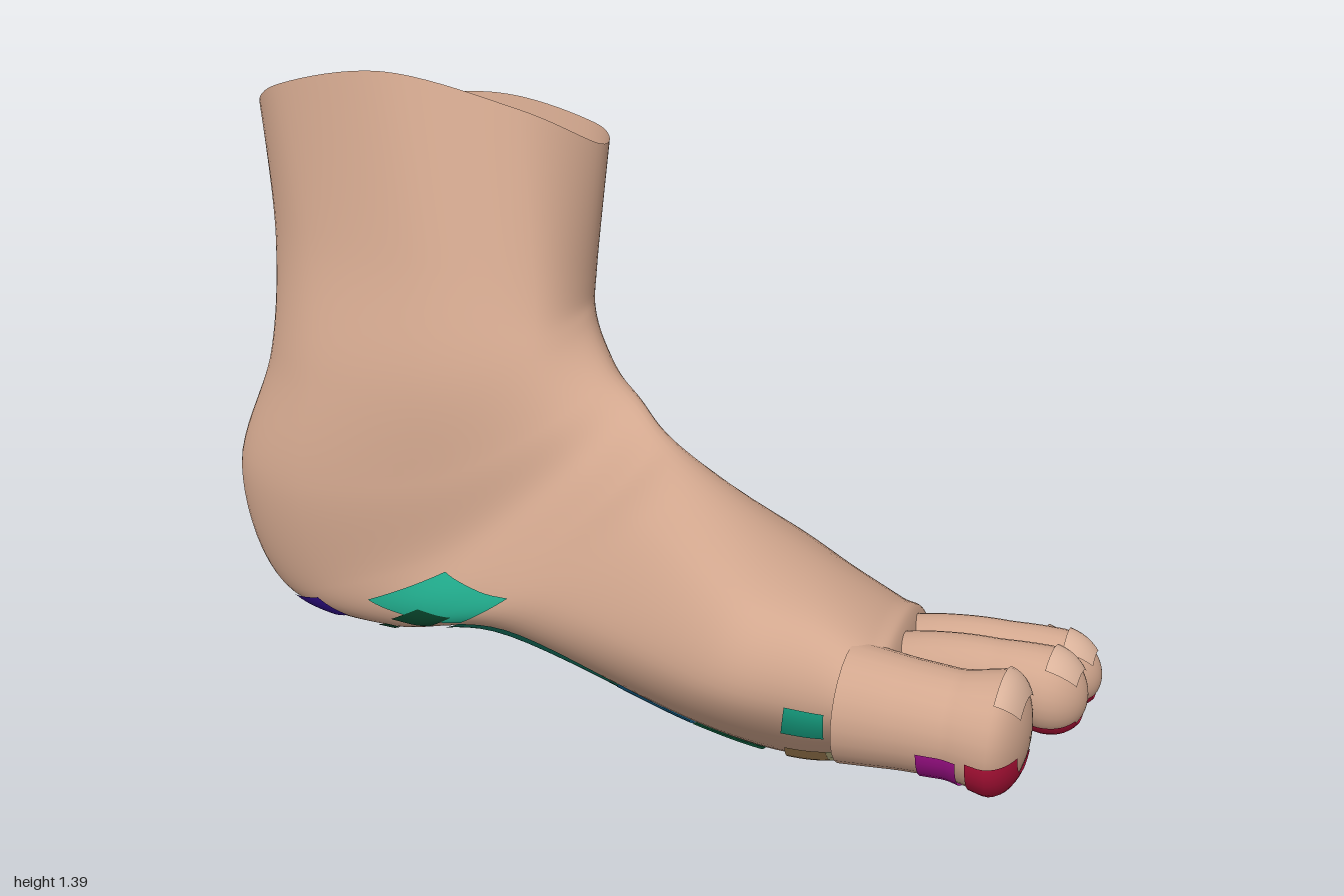
import * as THREE from 'three';

const SKIN = 0xd2a78e;
const V = (a) => new THREE.Vector3(...a);

// Cross-sections fanning from the ankle opening round the heel to the toe roots.
// Each one: top/front, inner side, sole/back, outer side.
const SECTIONS = [
  [[-.13, 1.21, -.41], [-.6, 1.38, -.32], [-.98, 1.18, -.69], [-.43, 1.24, -.7]],
  [[-.14, .93, -.32], [-.5, 1, -.17], [-.93, .92, -.55], [-.42, .95, -.62]],
  [[-.13, .85, -.26], [-.48, .75, -.08], [-.92, .68, -.42], [-.42, .7, -.56]],
  [[-.07, .77, -.18], [-.46, .52, -.05], [-.995, .4, -.35], [-.42, .45, -.51]],
  [[0, .72, -.12], [-.42, .36, -.03], [-.91, .11, -.33], [-.43, .28, -.46]],
  [[.06, .68, -.05], [-.31, .34, .07], [-.66, .05, -.3], [-.36, .25, -.44]],
  [[.14, .65, .03], [-.13, .38, .22], [-.33, .13, -.2], [-.13, .22, -.42]],
  [[.33, .58, .18], [.2, .38, .51], [.2, .07, .01], [.32, .2, -.25]],
  [[.46, .53, .24], [.4, .37, .57], [.42, .025, .08], [.51, .14, -.17]],
  [[.57, .48, .28], [.52, .39, .61], [.59, .1, .18], [.62, .18, -.06]],
];

const centre = (points) => points.reduce((a, b) => a.add(b), V([0, 0, 0])).divideScalar(points.length);

// Eight control points per section: the four given and rounded corners between
const RINGS = SECTIONS.map((section) => {
  const p = section.map(V);
  const c = centre(p);
  return p.flatMap((a, i) => {
    const b = p[(i + 1) % 4];
    const corner = a.clone().add(b).addScaledVector(c, -2).multiplyScalar(.72).add(c);
    return [a, corner];
  });
});

// Close the front between the toes: shrink the last section forwards to a point
const lastRing = RINGS[RINGS.length - 1];
const lastCentre = centre(lastRing);
for (const [scale, shift] of [[.82, .05], [0, .08]]) {
  RINGS.push(lastRing.map((p) => lastCentre.clone().lerp(p, scale).add(V([shift, 0, 0]))));
}

// Weights of a uniform spline for the four neighbours of a point
const weights = (t) => [
  (-t + 2 * t * t - t ** 3) / 2,
  (2 - 5 * t * t + 3 * t ** 3) / 2,
  (t + 4 * t * t - 3 * t ** 3) / 2,
  (-t * t + t ** 3) / 2,
];

function ringPoint(ring, v) {
  const j = Math.floor(v);
  const out = new THREE.Vector3();
  weights(v - j).forEach((w, k) => out.addScaledVector(ring[(j + k + 7) % 8], w));
  return out;
}

// Foot surface: u runs through the sections, v (0..8) runs round each one
function footSurface(u, v) {
  const last = RINGS.length - 1;
  const i = Math.min(Math.floor(u), last - 1);
  const out = new THREE.Vector3();
  weights(u - i).forEach((w, k) => {
    const ring = RINGS[THREE.MathUtils.clamp(i + k - 1, 0, last)];
    out.addScaledVector(ringPoint(ring, (v + 8) % 8), w);
  });
  return out;
}

// Toe surface: u (0..1) root to tip, v (0..1) from the top towards the inner side
function toeSurface(root, tip, radius, arch) {
  const a = V(root), b = V(tip);
  const curve = new THREE.CatmullRomCurve3([0, .33, .6, .82, 1].map((t) => {
    const bow = Math.sin(t * Math.PI);
    return a.clone().lerp(b, t).add(V([0, arch * bow, .018 * bow]));
  }));
  const swell = [1, .9, .86, 1, .92];
  const dir = b.clone().sub(a).setY(0).normalize();
  return (u, v) => {
    const t = Math.sin(u * Math.PI / 2);
    const i = Math.min(Math.floor(t * 4), 3);
    let r = radius * THREE.MathUtils.lerp(swell[i], swell[i + 1], t * 4 - i);
    if (t > .75) r *= Math.sqrt(Math.max(0, 1 - ((t - .75) / .25) ** 2.4));
    const angle = v * Math.PI * 2;
    const side = r * Math.sin(angle);
    return curve.getPoint(t).add(V([-dir.z * side, r * 1.08 * Math.cos(angle), dir.x * side]));
  };
}

// Mesh over a range of a surface, optionally raised a little above it
function surfaceMesh(name, S, [u0, u1], [v0, v1], nu, nv, color, lift = 0) {
  const pos = [], nor = [], idx = [], e = 1e-3;
  for (let i = 0; i <= nu; i++) {
    for (let j = 0; j <= nv; j++) {
      const u = u0 + (u1 - u0) * i / nu;
      const v = v0 + (v1 - v0) * j / nv;
      const du = S(Math.min(u + e, u1), v).sub(S(Math.max(u - e, u0), v));
      const dv = S(u, v + e).sub(S(u, v - e));
      const n = dv.cross(du).normalize();
      pos.push(...S(u, v).addScaledVector(n, lift).toArray());
      nor.push(...n.toArray());
      if (i < nu && j < nv) {
        const a = i * (nv + 1) + j, b = a + nv + 1;
        idx.push(a, a + 1, b, a + 1, b + 1, b);
      }
    }
  }
  const g = new THREE.BufferGeometry();
  g.setAttribute('position', new THREE.Float32BufferAttribute(pos, 3));
  g.setAttribute('normal', new THREE.Float32BufferAttribute(nor, 3));
  g.setIndex(idx);
  const mesh = new THREE.Mesh(g, new THREE.MeshStandardMaterial({ color, side: THREE.DoubleSide }));
  mesh.name = name;
  return mesh;
}

export function createModel() {
  const model = new THREE.Group();
  model.name = 'foot';

  // Ankle, heel and instep in one open shell
  model.add(surfaceMesh('footBody', footSurface, [0, 10.98], [0, 8], 96, 72, SKIN));

  // Toes with nails and coloured pads: root, tip, radius, height of the arch
  const toes = [
    ['bigToe', [.5, .385, .53], [.845, .39, .625], .115, .01],
    ['secondToe', [.52, .36, .37], [.955, .41, .51], .079, .045],
    ['thirdToe', [.54, .34, .24], [.995, .37, .35], .071, .045],
    ['fourthToe', [.55, .28, .12], [.955, .31, .21], .065, .04],
    ['littleToe', [.54, .21, .01], [.885, .215, .075], .058, .025],
  ];
  toes.forEach(([name, root, tip, radius, arch], i) => {
    const S = toeSurface(root, tip, radius, arch);
    const g = new THREE.Group();
    g.name = name;
    g.add(surfaceMesh('toe', S, [0, .995], [0, 1], 28, 24, SKIN));
    g.add(surfaceMesh('nail', S, [.56, .78], [-.11, .11], 6, 8, 0xdcb49c, .006));
    g.add(surfaceMesh('toePad', S, [.45, .82], i ? [.34, .68] : [.27, .62], 10, 12, 0xb01238, .004));
    g.add(surfaceMesh('toeRoot', S, [.24, .4], [.28, .6], 6, 10, 0xa0108a, .004));
    model.add(g);
  });

  // Coloured zones on the sole and arch: section range, range round it, colour
  const zones = [
    ['archZone', [4.3, 5.5], [2.1, 2.7], 0x22b090],
    ['archSpot', [4.8, 5.25], [2.55, 2.85], 0x08452c],
    ['archStrip', [5.5, 6.6], [2.75, 3.05], 0x177a66],
    ['heelZone', [4.1, 4.5], [3.1, 3.5], 0x32108c],
    ['heelSpot', [4.85, 5.02], [3, 3.15], 0x0a4a30],
    ['outerHeelSpot', [5.55, 5.8], [4.8, 5.15], 0x0a5a34],
    ['soleBlue', [6.6, 7], [2.7, 3.2], 0x1a6c98],
    ['soleCrimson', [6.45, 6.75], [3.2, 3.6], 0xa01040],
    ['soleGreen', [7, 7.6], [3, 3.4], 0x0a4a30],
    ['soleLavender', [7.4, 8.1], [3.5, 4.2], 0x9a88b0],
    ['outerSoleGreen', [7.2, 7.8], [4.5, 4.95], 0x0a5a34],
    ['ballInner', [7.85, 8.4], [1.9, 2.3], 0x18a888],
    ['ballTan', [7.9, 8.4], [2.6, 3.3], 0xb08a5a],
    ['ballPad', [8.4, 9.3], [2.6, 4.6], 0xc4bc8a],
    ['toeRootOrangeInner', [9.25, 10.3], [2.9, 3.35], 0xd08810],
    ['toeRootOrangeOuter', [9.25, 10.3], [3.45, 3.85], 0xd08810],
    ['toeRootMagenta', [9.2, 10.3], [3.95, 4.55], 0xa0108a],
    ['toeRootPurple', [8.6, 9.8], [4.65, 5.3], 0x3a0e90],
  ];
  zones.forEach(([name, u, v, color], i) => {
    model.add(surfaceMesh(name, footSurface, u, v, 10, 10, color, .004 + i * .0003));
  });
  return model;
}
